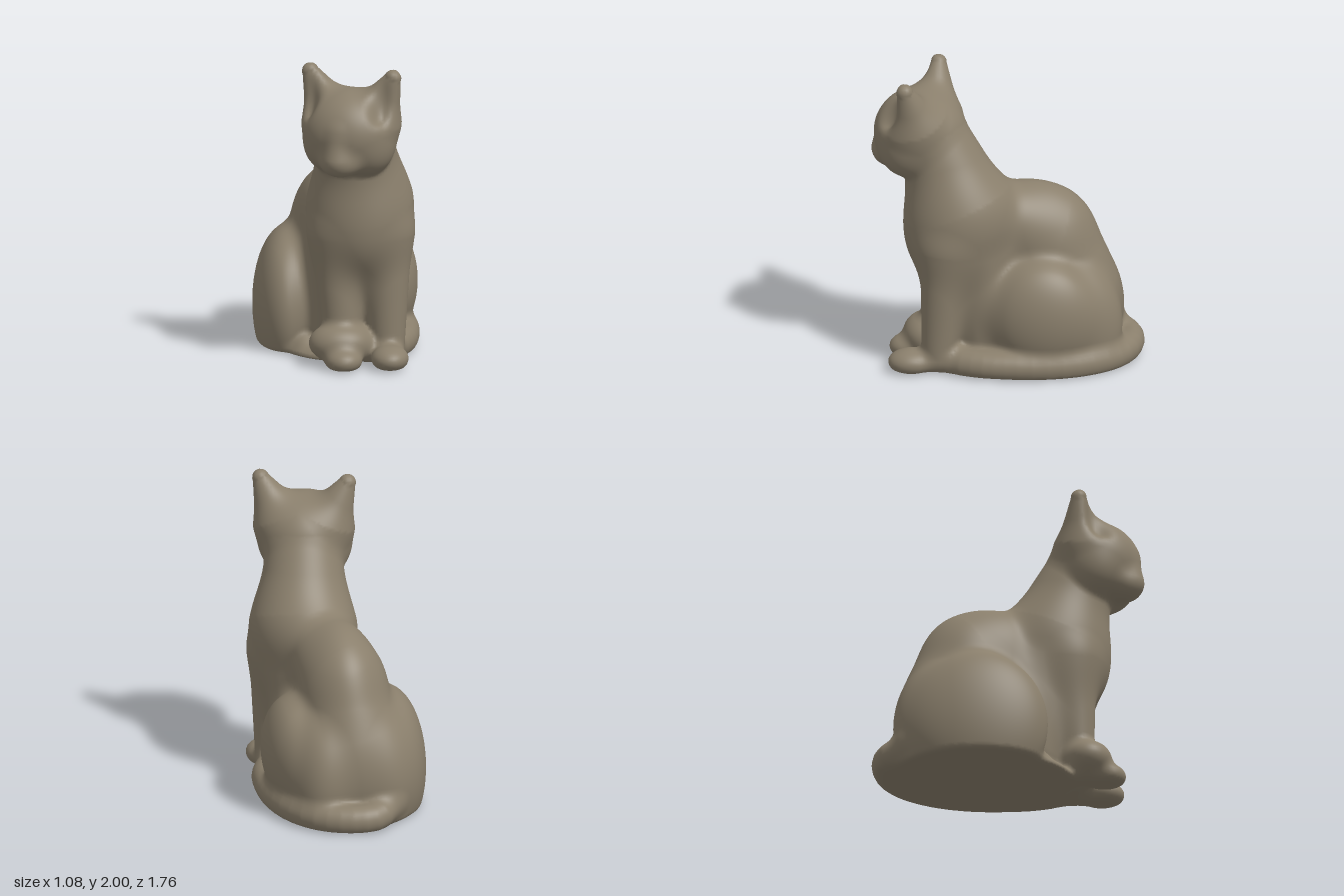
import * as THREE from 'three';

const V = (x, y, z) => new THREE.Vector3(x, y, z);
const YAW = -0.4; // the head is turned a little to its right
const HEAD = V(0.08, 1.58, 0.55);
const onHead = (u, v, f) => V(u, v, f).applyAxisAngle(V(0, 1, 0), YAW).add(HEAD);

// Distance to an ellipsoid, optionally turned about y
function ball(c, r, yaw = 0) {
  const cs = Math.cos(yaw), sn = Math.sin(yaw);
  return (x, y, z) => {
    const dx = x - c.x, dy = y - c.y, dz = z - c.z;
    const px = (cs * dx - sn * dz) / r.x, py = dy / r.y, pz = (sn * dx + cs * dz) / r.z;
    const k0 = Math.hypot(px, py, pz), k1 = Math.hypot(px / r.x, py / r.y, pz / r.z);
    return k1 < 1e-6 ? -Math.min(r.x, r.y, r.z) : k0 * (k0 - 1) / k1;
  };
}

// Distance to a tapered round limb
function limb(a, b, ra, rb) {
  const d = b.clone().sub(a), l2 = d.lengthSq();
  return (x, y, z) => {
    const px = x - a.x, py = y - a.y, pz = z - a.z;
    const t = Math.min(1, Math.max(0, (px * d.x + py * d.y + pz * d.z) / l2));
    return Math.hypot(px - t * d.x, py - t * d.y, pz - t * d.z) - ra - (rb - ra) * t;
  };
}

// Distance to an even tube along a row of points
function chain(path, r) {
  const links = path.slice(1).map((p, i) => limb(path[i], p, r, r));
  return (x, y, z) => links.reduce((d, link) => Math.min(d, link(x, y, z)), 10);
}

const parts = [];
const add = (name, blend, ...shapes) => parts.push({ name, blend, shapes });
const hollows = [];

// Torso: rump, arched back, withers, belly and chest
add('torso', 0.12,
  ball(V(-0.03, 0.34, -0.3), V(0.38, 0.56, 0.435)),
  ball(V(0.01, 0.72, -0.16), V(0.26, 0.47, 0.43)),
  limb(V(0.11, 1.03, 0.11), V(0.0, 0.85, -0.25), 0.2, 0.25),
  limb(V(0.12, 0.92, 0.27), V(0.09, 0.2, 0.1), 0.28, 0.28),
  ball(V(0.14, 0.95, 0.36), V(0.33, 0.42, 0.32)));
add('neck', 0.12, limb(V(0.14, 1.09, 0.305), V(0.09, 1.56, 0.505), 0.31, 0.235));

// Thighs run back into the rump; a hind foot peeks out
add('rightThigh', 0.12,
  ball(V(-0.33, 0.25, -0.18), V(0.21, 0.49, 0.42)),
  ball(V(-0.2, 0.24, -0.46), V(0.2, 0.4, 0.27)));
add('leftThigh', 0.1,
  ball(V(0.33, 0.39, -0.22), V(0.2, 0.36, 0.34)),
  ball(V(0.2, 0.26, -0.45), V(0.2, 0.4, 0.28)));
add('rightHindFoot', 0.05, ball(V(-0.21, 0.05, 0.14), V(0.08, 0.08, 0.12)));

// Solid underside between the feet and the tail
add('base', 0.05, ball(V(0.03, 0.01, -0.18), V(0.45, 0.13, 0.62)));

// Front legs and paws
add('rightFrontLeg', 0.1, limb(V(-0.02, 0.84, 0.41), V(0.02, 0.1, 0.46), 0.16, 0.105));
add('leftFrontLeg', 0.1, limb(V(0.31, 0.84, 0.41), V(0.315, 0.1, 0.46), 0.16, 0.105));
add('rightFrontPaw', 0.05, ball(V(0.02, 0.06, 0.63), V(0.12, 0.085, 0.14)));
add('leftFrontPaw', 0.06, ball(V(0.32, 0.07, 0.63), V(0.12, 0.085, 0.15)));

// Tail sweeps round the left side, its tip resting over the right paw
const tailPath = new THREE.CatmullRomCurve3([
  V(-0.2, 0.13, -0.66), V(-0.09, 0.09, -0.775), V(0.08, 0.08, -0.77), V(0.25, 0.08, -0.67),
  V(0.38, 0.08, -0.46), V(0.44, 0.08, -0.2), V(0.44, 0.08, 0.02), V(0.41, 0.08, 0.2),
  V(0.33, 0.08, 0.36), V(0.18, 0.1, 0.46)]);
add('tail', 0.06, chain(tailPath.getPoints(24), 0.093));
add('tailTip', 0.05, ball(V(0, 0.15, 0.52), V(0.2, 0.13, 0.16)));

// Head with cheeks, muzzle and nose bridge
add('head', 0.05,
  ball(onHead(0, 0, 0.035), V(0.315, 0.28, 0.285), YAW),
  ...[-1, 1].map((s) => ball(onHead(s * 0.13, -0.11, 0.06), V(0.16, 0.16, 0.17), YAW)));
add('muzzle', 0.08,
  ball(onHead(0, -0.175, 0.24), V(0.12, 0.09, 0.1), YAW),
  limb(onHead(0, 0.03, 0.26), onHead(0, -0.15, 0.3), 0.03, 0.035));

// Broad ears, each scooped out at the front
for (const [name, s] of [['rightEar', -1], ['leftEar', 1]]) {
  add(name, 0.08, limb(onHead(s * 0.165, 0.12, 0), onHead(s * 0.285, 0.365, 0.015), 0.165, 0.055));
  hollows.push(ball(onHead(s * 0.25, 0.25, 0.15), V(0.05, 0.15, 0.075), YAW));
}

function smoothMin(a, b, k) {
  const h = Math.max(k - Math.abs(a - b), 0);
  return Math.min(a, b) - h * h / (4 * k);
}

// The whole sculpted form, cut flat at the floor
function field(x, y, z) {
  let d = 10;
  for (const p of parts) for (const s of p.shapes) d = smoothMin(d, s(x, y, z), p.blend);
  for (const h of hollows) d = -smoothMin(-d, h(x, y, z), 0.08);
  return -smoothMin(-d, y, 0.03);
}

function gradient(p, e = 0.004) {
  return V(field(p.x + e, p.y, p.z) - field(p.x - e, p.y, p.z),
    field(p.x, p.y + e, p.z) - field(p.x, p.y - e, p.z),
    field(p.x, p.y, p.z + e) - field(p.x, p.y, p.z - e)).divideScalar(2 * e);
}

// Part whose own shape lies closest to a point
function partAt(p) {
  let best = 0, min = Infinity;
  parts.forEach((part, i) => part.shapes.forEach((s) => {
    const d = s(p.x, p.y, p.z);
    if (d < min) { min = d; best = i; }
  }));
  return best;
}

// Skin the form with a net of quads, one point per grid cell it crosses
function skin(step) {
  const lo = [-0.61, -0.05, -0.95], n = [1.22, 2.13, 1.9].map((s) => Math.ceil(s / step) + 1);
  const stride = [1, n[0], n[0] * n[1]];
  const val = new Float32Array(n[0] * n[1] * n[2]);
  const each = (from, to, fn) => {
    for (let k = from; k < n[2] - to; k++)
      for (let j = from; j < n[1] - to; j++)
        for (let i = from; i < n[0] - to; i++) fn(i, j, k, i + j * stride[1] + k * stride[2]);
  };
  each(0, 0, (i, j, k, id) => {
    val[id] = field(lo[0] + i * step, lo[1] + j * step, lo[2] + k * step);
  });
  const points = [], normals = [], cell = new Map();
  each(0, 1, (i, j, k, id) => {
    const sum = V(0, 0, 0);
    let hits = 0;
    for (let c = 0; c < 8; c++) for (let a = 0; a < 3; a++) {
      if (c >> a & 1) continue;
      const o = [c & 1, c >> 1 & 1, c >> 2 & 1];
      const q = id + o[0] + o[1] * stride[1] + o[2] * stride[2];
      const d0 = val[q], d1 = val[q + stride[a]];
      if (d0 < 0 === d1 < 0) continue;
      o[a] += d0 / (d0 - d1);
      sum.add(V(...o));
      hits++;
    }
    if (!hits) return;
    const p = sum.divideScalar(hits).add(V(i, j, k)).multiplyScalar(step).add(V(...lo));
    for (let t = 0; t < 2; t++) {
      const g = gradient(p), move = -field(p.x, p.y, p.z) / Math.max(g.lengthSq(), 0.3);
      p.addScaledVector(g, Math.max(-step / 2, Math.min(step / 2, move)));
    }
    cell.set(id, points.length);
    points.push(p);
    normals.push(gradient(p).normalize());
  });
  const quads = [];
  each(1, 1, (i, j, k, id) => {
    for (let a = 0; a < 3; a++) {
      const inside = val[id] < 0;
      if (inside === val[id + stride[a]] < 0) continue;
      const b = stride[(a + 1) % 3], c = stride[(a + 2) % 3];
      const q = [id, id - b, id - b - c, id - c].map((x) => cell.get(x));
      quads.push(inside ? q : q.reverse());
    }
  });
  return { points, normals, quads };
}

export function createModel() {
  const group = new THREE.Group();
  group.name = 'sittingCat';
  const clay = new THREE.MeshStandardMaterial({ color: 0x8a7f6c });
  clay.name = 'taupe clay';

  // Share the skin out among the named parts
  const { points, normals, quads } = skin(0.02);
  const data = parts.map(() => ({ pos: [], nor: [], index: [], seen: new Map() }));
  for (const q of quads) {
    const mid = V(0, 0, 0);
    q.forEach((v) => mid.addScaledVector(points[v], 0.25));
    const d = data[partAt(mid)];
    const [a, b, c, e] = q.map((v) => {
      if (!d.seen.has(v)) {
        d.seen.set(v, d.seen.size);
        d.pos.push(...points[v].toArray());
        d.nor.push(...normals[v].toArray());
      }
      return d.seen.get(v);
    });
    d.index.push(a, b, c, a, c, e);
  }
  data.forEach((d, i) => {
    if (!d.index.length) return;
    const geo = new THREE.BufferGeometry();
    geo.setAttribute('position', new THREE.Float32BufferAttribute(d.pos, 3));
    geo.setAttribute('normal', new THREE.Float32BufferAttribute(d.nor, 3));
    geo.setIndex(d.index);
    const mesh = new THREE.Mesh(geo, clay);
    mesh.name = parts[i].name;
    group.add(mesh);
  });
  return group;
}
